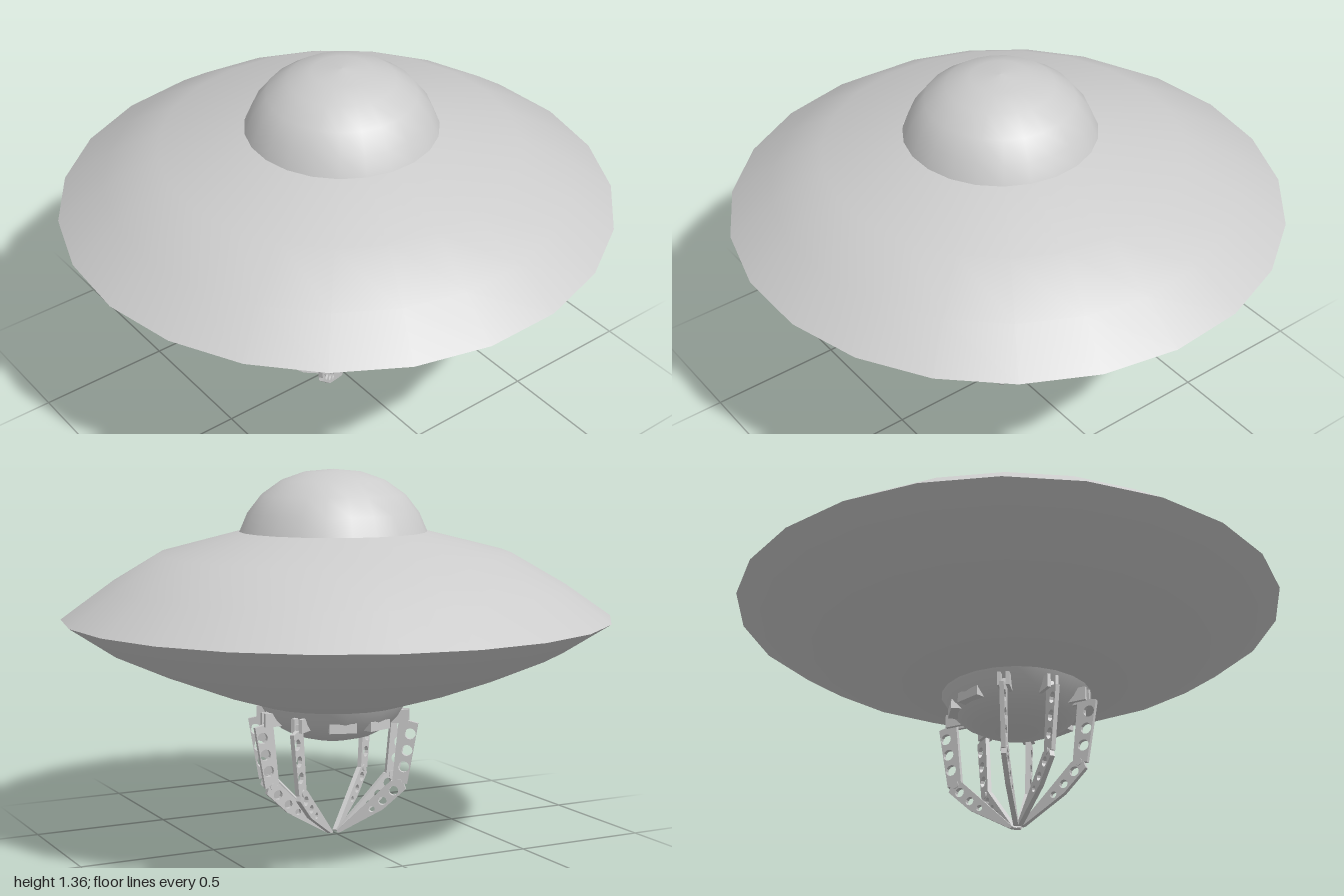
import * as THREE from 'three';

const SIDES = 23;
const HUB_Z = 0.034;
const grey = new THREE.MeshStandardMaterial({ color: 0xcccccc, side: THREE.DoubleSide });

function add(parent, name, geometry, x = 0, y = 0, z = 0) {
  const mesh = new THREE.Mesh(geometry, grey);
  mesh.name = name;
  mesh.position.set(x, y, z);
  parent.add(mesh);
  return mesh;
}

// Smooth turned shell; profile runs from bottom to top
function turned(profile) {
  return new THREE.LatheGeometry(profile.map(([r, y]) => new THREE.Vector2(r, y)), SIDES, Math.PI);
}

// Inner rings of the saucer sit slightly forward of its rim
function leanForward(geometry) {
  const p = geometry.attributes.position;
  for (let i = 0; i < p.count; i++) {
    const r = Math.hypot(p.getX(i), p.getZ(i));
    p.setZ(i, p.getZ(i) + 0.046 * (1 - r));
  }
  return geometry;
}

// Flat plate in the XY plane with round lightening holes
function plate(outline, holes, thickness) {
  const shape = new THREE.Shape(outline.map(([x, y]) => new THREE.Vector2(x, y)));
  for (const [x, y, r] of holes) {
    shape.holes.push(new THREE.Path().absarc(x, y, r, 0, Math.PI * 2, true));
  }
  const geometry = new THREE.ExtrudeGeometry(shape, { depth: thickness, bevelEnabled: false, curveSegments: 6 });
  return geometry.translate(0, 0, -thickness / 2);
}

// Clawed leg reaching out along +x
function createLeg() {
  const leg = new THREE.Group();
  leg.name = 'leg';
  add(leg, 'upperLeg', plate(
    [[0.32, 0.425], [0.28, 0.435], [0.275, 0.455], [0.25, 0.455], [0.225, 0.205], [0.28, 0.195]],
    [[0.291, 0.385, 0.021], [0.279, 0.322, 0.021], [0.267, 0.26, 0.021]], 0.016));
  add(leg, 'lowerLeg', plate(
    [[0.275, 0.175], [0.265, 0.205], [0.22, 0.205], [0.015, 0.005], [0.02, 0], [0.03, 0.002], [0.19, 0.095]],
    [[0.23, 0.168, 0.018], [0.188, 0.128, 0.016], [0.148, 0.095, 0.012]], 0.018));
  // Knee pin and the forked hip bracket
  add(leg, 'kneePin', new THREE.CylinderGeometry(0.014, 0.014, 0.026, 8).rotateX(Math.PI / 2), 0.248, 0.2, 0);
  for (const side of [-1, 1]) {
    add(leg, 'hipBracket', new THREE.BoxGeometry(0.07, 0.05, 0.013), 0.25, 0.452, side * 0.0155);
  }
  return leg;
}

export function createModel() {
  const model = new THREE.Group();
  model.name = 'flyingSaucer';

  // Hull
  add(model, 'upperHull', leanForward(turned([[1.002, 0.825], [0.84, 0.94], [0.645, 1.055], [0.345, 1.132]])));
  add(model, 'lowerHull', leanForward(turned([[0.275, 0.5], [0.45, 0.555], [0.64, 0.628], [0.835, 0.715], [1.002, 0.825]])));
  add(model, 'dome', turned([[0.345, 1.13], [0.315, 1.2], [0.265, 1.265], [0.19, 1.318], [0.105, 1.348], [0, 1.358]]), 0, 0, 0.03);
  add(model, 'bellyBowl', turned([[0, 0.36], [0.08, 0.364], [0.15, 0.382], [0.205, 0.412], [0.245, 0.452], [0.275, 0.502]]), 0, 0, HUB_Z);

  // Ten stations round the bowl: six legs, and plain blocks at front and back
  for (let i = 0; i < 10; i++) {
    const station = new THREE.Group();
    station.name = 'legStation';
    station.position.z = HUB_Z;
    station.rotation.y = -i * Math.PI / 5;
    if ([2, 3, 7, 8].includes(i)) {
      add(station, 'mountBlock', new THREE.BoxGeometry(0.06, 0.035, 0.1), 0.215, 0.44, 0);
    } else {
      station.add(createLeg());
    }
    model.add(station);
  }
  return model;
}
